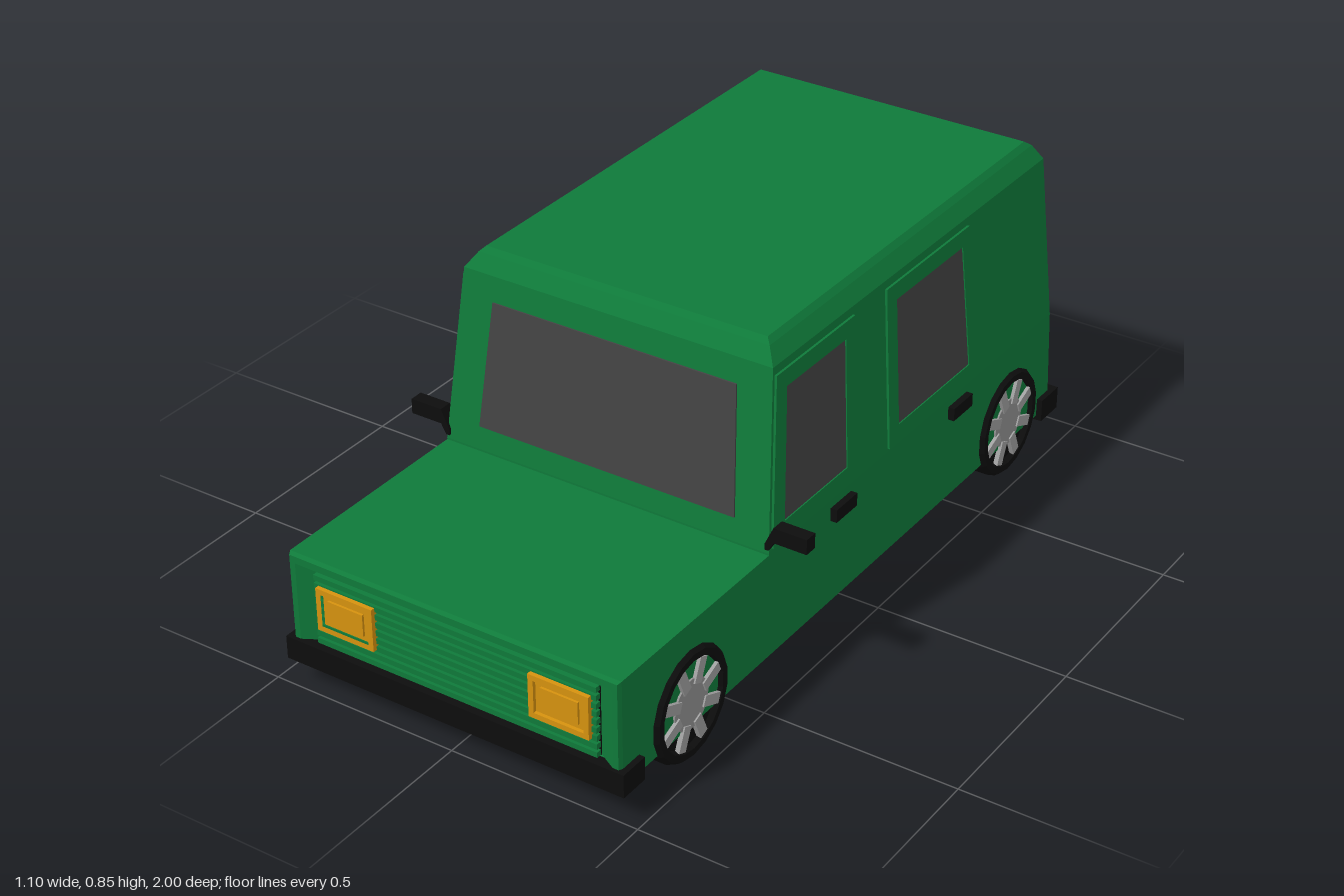
import * as THREE from 'three';

const mat = (name, color, extra = {}) => new THREE.MeshStandardMaterial({ name, color, ...extra });

// Sloped body walls, as functions of height
const slope = (y, y0, a, y1, b) => a + (b - a) * (y - y0) / (y1 - y0);
const sideX = y => (y < 0.36 ? 0.45 : slope(y, 0.36, 0.45, 0.8, 0.42));
const frontZ = y => slope(y, 0.36, 0.41, 0.8, 0.355);
const backZ = y => slope(y, 0.08, -0.93, 0.8, -0.88);

// How a flat outline (across, height, outward) lands on each wall
const walls = {
  front: { s: 1, at: (u, y, w) => [u, y, frontZ(y) + w] },
  back: { s: -1, at: (u, y, w) => [-u, y, backZ(y) - w] },
  left: { s: -1, at: (u, y, w) => [sideX(y) + w, y, -u] },
  right: { s: 1, at: (u, y, w) => [-sideX(y) - w, y, u] },
  nose: { s: 1, at: (u, y, w) => [u, y, 0.965 + w] },
};

export function createModel() {
  const car = new THREE.Group();
  car.name = 'offRoadCar';

  const green = mat('bodyGreen', 0x0f7a3a);
  const glass = mat('darkGlass', 0x434343);
  const black = mat('blackRubber', 0x0d0d0d);
  const amber = mat('headlightAmber', 0xd6920f);
  const orange = mat('tailLightOrange', 0xc8590f);
  const silver = mat('spokeGrey', 0xa0a0a0);
  const grey = mat('hubGrey', 0x929292);
  const steel = mat('exhaustGrey', 0x3c3c3c);

  function add(name, geometry, material, x = 0, y = 0, z = 0, parent = car) {
    const mesh = new THREE.Mesh(geometry, material);
    mesh.name = name;
    mesh.position.set(x, y, z);
    parent.add(mesh);
    return mesh;
  }
  const box = (name, m, w, h, d, x, y, z) => add(name, new THREE.BoxGeometry(w, h, d), m, x, y, z);

  // Faceted skin through four-cornered rings, counter-clockwise seen from the last ring
  function loft(rings, capStart, capEnd) {
    const v = [];
    const quad = (a, b, c, d) => v.push(...a, ...b, ...c, ...a, ...c, ...d);
    for (let r = 0; r < rings.length - 1; r++) {
      for (let i = 0; i < 4; i++) {
        const j = (i + 1) % 4;
        quad(rings[r][i], rings[r][j], rings[r + 1][j], rings[r + 1][i]);
      }
    }
    if (capStart) quad(...[...rings[0]].reverse());
    if (capEnd) quad(...rings[rings.length - 1]);
    const g = new THREE.BufferGeometry();
    g.setAttribute('position', new THREE.Float32BufferAttribute(v, 3));
    g.computeVertexNormals();
    return g;
  }

  // Thin plate that follows a wall
  function plate(name, m, wall, pts, depth, hole = null, base = 0) {
    const { s, at } = walls[wall];
    const flat = list => list.map(([a, y]) => new THREE.Vector2(a * s, y));
    const shape = new THREE.Shape(flat(pts));
    if (hole) shape.holes.push(new THREE.Path(flat(hole)));
    const g = new THREE.ExtrudeGeometry(shape, { depth, bevelEnabled: false });
    const p = g.attributes.position;
    for (let i = 0; i < p.count; i++) p.setXYZ(i, ...at(p.getX(i), p.getY(i), p.getZ(i) + base));
    g.computeVertexNormals();
    return add(name, g, m);
  }
  const rect = (a0, a1, y0, y1) => [[a0, y0], [a1, y0], [a1, y1], [a0, y1]];

  // Cabin: horizontal rings from floor to roof
  const level = (y, hx, z0, z1) => [[-hx, y, z1], [hx, y, z1], [hx, y, z0], [-hx, y, z0]];
  add('cabin', loft([
    level(0.08, 0.45, -0.93, 0.41),
    level(0.36, 0.45, backZ(0.36), 0.41),
    level(0.8, 0.42, -0.88, 0.355),
    level(0.837, 0.395, -0.862, 0.33),
    level(0.85, 0.382, -0.845, 0.318),
  ], true, true), green);

  // Bonnet: rings along z, ending in the bevelled grille recess
  const section = (z, hx, y0, y1) => [[-hx, y0, z], [hx, y0, z], [hx, y1, z], [-hx, y1, z]];
  add('bonnet', loft([
    section(0.41, 0.45, 0.08, 0.355),
    section(0.98, 0.45, 0.08, 0.355),
    section(0.99, 0.445, 0.08, 0.35),
    section(0.99, 0.43, 0.12, 0.332),
    section(0.965, 0.385, 0.13, 0.318),
  ], false, true), green);

  // Grille
  plate('grilleBack', black, 'nose', rect(-0.385, 0.385, 0.13, 0.318), 0.004);
  for (let i = 0; i < 9; i++) box('grilleSlat', green, 0.77, 0.014, 0.016, 0, 0.138 + i * 0.0212, 0.975);

  // Windscreen and rear window
  plate('windscreen', glass, 'front', [[-0.355, 0.42], [0.355, 0.42], [0.333, 0.737], [-0.333, 0.737]], 0.004);
  plate('rearWindow', glass, 'back', [[-0.33, 0.49], [0.33, 0.49], [0.31, 0.72], [-0.31, 0.72]], 0.004);

  // Tailgate trim with clipped upper corners
  const gate = (x, y0, y1, c) => [[-x, y0], [x, y0], [x, y1 - c], [x - c, y1], [c - x, y1], [-x, y1 - c]];
  plate('tailgateTrim', green, 'back', gate(0.42, 0.125, 0.455, 0.075), 0.012, gate(0.385, 0.145, 0.43, 0.065));

  // Doors: frame outline, glass and handle on each side
  const doors = [
    { frame: [[0.4, 0.37], [0.04, 0.37], [0.022, 0.78], [0.35, 0.78]],
      pane: [[0.348, 0.415], [0.08, 0.415], [0.064, 0.738], [0.312, 0.738]], handle: 0.102 },
    { frame: [[-0.107, 0.37], [-0.52, 0.37], [-0.5, 0.78], [-0.118, 0.78]],
      pane: [[-0.152, 0.415], [-0.487, 0.415], [-0.467, 0.738], [-0.16, 0.738]], handle: -0.44 },
  ];
  for (const [side, s] of [['left', 1], ['right', -1]]) {
    for (const { frame, pane, handle } of doors) {
      plate('doorFrame', green, side, frame, 0.006, pane);
      plate('doorWindow', glass, side, pane, 0.003);
      box('doorHandle', black, 0.03, 0.034, 0.09, s * 0.452, 0.323, handle);
    }

    // Wing mirror on its bent arm
    const outline = [[0.44, 0.37], [0.45, 0.37], [0.464, 0.395], [0.55, 0.395], [0.55, 0.434], [0.463, 0.434], [0.44, 0.385]];
    const mirror = new THREE.Shape(outline.map(([x, y]) => new THREE.Vector2(s * x, y)));
    add('wingMirror', new THREE.ExtrudeGeometry(mirror, { depth: 0.035, bevelEnabled: false }), black, 0, 0, 0.378);

    // Headlight: raised rim around a bevelled lens
    const [h0, h1] = [s * 0.213, s * 0.372];
    plate('headlightRim', amber, 'nose', rect(h0, h1, 0.178, 0.29), 0.029, rect(h0 + s * 0.014, h1 - s * 0.014, 0.192, 0.276));
    plate('headlightLens', amber, 'nose', rect(h0 + s * 0.014, h1 - s * 0.014, 0.192, 0.276), 0.02);
    plate('headlightCentre', amber, 'nose', rect(h0 + s * 0.03, h1 - s * 0.03, 0.205, 0.263), 0.026);

    // Tail lights
    const [t0, t1] = [s * 0.165, s * 0.31];
    plate('tailLightRim', orange, 'back', rect(t0, t1, 0.265, 0.355), 0.022, rect(t0 + s * 0.012, t1 - s * 0.012, 0.277, 0.343));
    plate('tailLightLens', orange, 'back', rect(t0 + s * 0.012, t1 - s * 0.012, 0.277, 0.343), 0.014);
    plate('reflector', orange, 'back', rect(s * 0.11, s * 0.19, 0.208, 0.232), 0.012);

    // Exhaust tip
    const pipe = new THREE.CylinderGeometry(0.032, 0.026, 0.09, 12);
    pipe.rotateX(Math.PI / 2);
    add('exhaustTip', pipe, steel, s * 0.28, 0.095, -0.955);
  }

  // Bumpers
  box('frontBumper', black, 0.93, 0.06, 0.08, 0, 0.098, 0.96);
  box('rearBumper', black, 0.93, 0.06, 0.085, 0, 0.098, -0.912);

  // Wheel with its axle along z
  function wheel(name, r, w) {
    const g = new THREE.Group();
    g.name = name;
    const h = w / 2;
    const half = [[0, h - 0.014], [r * 0.78, h - 0.014], [r * 0.82, h], [r * 0.94, h], [r, h - 0.012]];
    const profile = [...half.map(([x, y]) => [x, -y]), ...half.reverse()];
    const tyre = new THREE.LatheGeometry(profile.map(p => new THREE.Vector2(...p)), 18).toNonIndexed();
    tyre.rotateX(Math.PI / 2);
    tyre.computeVertexNormals();
    add('tyre', tyre, black, 0, 0, 0, g);
    const hub = new THREE.CylinderGeometry(r * 0.46, r * 0.46, w - 0.012, 16);
    hub.rotateX(Math.PI / 2);
    add('hub', hub, grey, 0, 0, 0, g);
    for (let i = 0; i < 8; i++) {
      const spoke = new THREE.BoxGeometry(r * 0.44, r * 0.19, w - 0.004);
      spoke.translate(r * 0.57, 0, 0);
      spoke.rotateZ((i + 0.5) * Math.PI / 4);
      add('spoke', spoke, silver, 0, 0, 0, g);
    }
    car.add(g);
    return g;
  }
  for (const s of [1, -1]) {
    for (const [name, z] of [['frontWheel', 0.725], ['rearWheel', -0.707]]) {
      const w = wheel(name, 0.143, 0.122);
      w.position.set(s * 0.4, 0.143, z);
      w.rotation.y = s * Math.PI / 2;
    }
  }
  wheel('spareWheel', 0.167, 0.085).position.set(0, 0.455, -0.938);

  return car;
}
